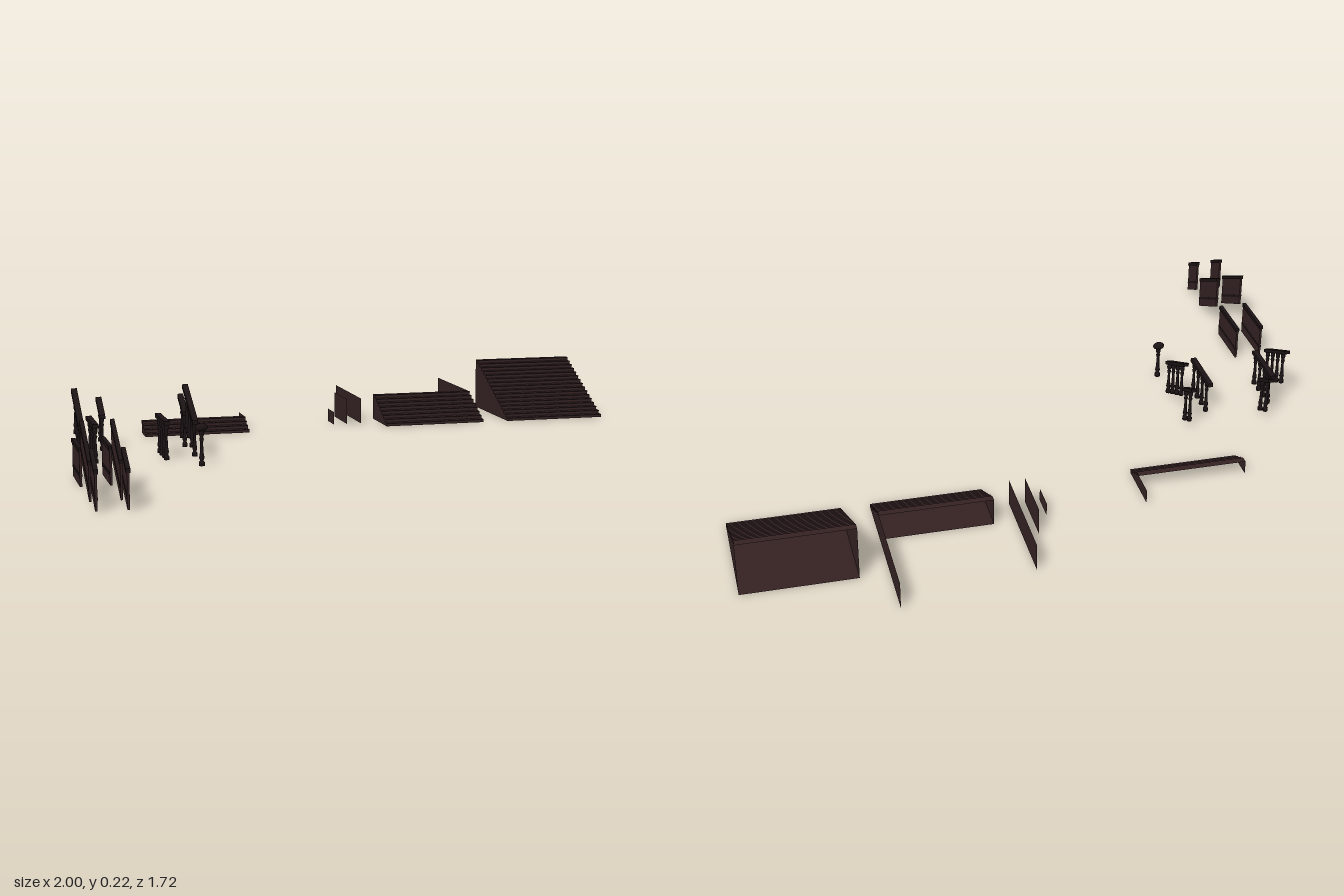
import * as THREE from 'three';

const wood = new THREE.MeshStandardMaterial({ color: 0x352223, side: THREE.DoubleSide });
wood.name = 'brown wood';
const darkWood = new THREE.MeshStandardMaterial({ color: 0x1c1315 });
darkWood.name = 'dark wood';

const STEP_RUN = 0.0226, STEP_RISE = 0.01125;

function add(parent, name, geometry, material) {
  const mesh = new THREE.Mesh(geometry, material);
  mesh.name = name;
  parent.add(mesh);
  return mesh;
}

function group(parent, name) {
  const g = new THREE.Group();
  g.name = name;
  parent.add(g);
  return g;
}

// Bar running towards -z from its front end, sheared upwards by rise along its length
function slantedBar(width, y0, y1, length, rise) {
  const geo = new THREE.BoxGeometry(width, y1 - y0, length);
  geo.translate(0, (y0 + y1) / 2, -length / 2);
  const p = geo.attributes.position;
  for (let i = 0; i < p.count; i++) p.setY(i, p.getY(i) - p.getZ(i) / length * rise);
  geo.computeVertexNormals();
  return geo;
}

// Hollow flight, open at the back
function stairs(parent, name, x0, x1, count, hasFloor) {
  const g = group(parent, name);
  const zFront = -0.325, width = x1 - x0, cx = (x0 + x1) / 2, run = count * STEP_RUN;
  const side = new THREE.Shape();
  side.moveTo(0, 0);
  for (let i = 0; i < count; i++) {
    side.lineTo(i * STEP_RUN, (i + 1) * STEP_RISE);
    side.lineTo((i + 1) * STEP_RUN, (i + 1) * STEP_RISE);
    const riser = add(g, 'riser', new THREE.PlaneGeometry(width, STEP_RISE), wood);
    riser.position.set(cx, (i + 0.5) * STEP_RISE, zFront - i * STEP_RUN);
    const tread = add(g, 'tread', new THREE.PlaneGeometry(width, STEP_RUN).rotateX(-Math.PI / 2), wood);
    tread.position.set(cx, (i + 1) * STEP_RISE, zFront - (i + 0.5) * STEP_RUN);
    // dark nosing under each tread edge
    const nosing = add(g, 'nosing', new THREE.BoxGeometry(width, 0.003, 0.003), darkWood);
    nosing.position.set(cx, (i + 1) * STEP_RISE - 0.0017, zFront - i * STEP_RUN + 0.0015);
  }
  side.lineTo(run, 0);
  for (const x of [x0, x1]) {
    const cheek = add(g, 'stairSide', new THREE.ShapeGeometry(side).rotateY(Math.PI / 2), wood);
    cheek.position.set(x, 0, zFront);
  }
  if (hasFloor) {
    const floor = add(g, 'stairFloor', new THREE.PlaneGeometry(width, run).rotateX(-Math.PI / 2), wood);
    floor.position.set(cx, 0, zFront - run / 2);
  }
}

// Thin upright plate lying in the y-z plane
function sidePlate(parent, x, zFront, length, height) {
  const plate = add(parent, 'sidePlate', new THREE.PlaneGeometry(length, height).rotateY(Math.PI / 2), wood);
  plate.position.set(x, height / 2, zFront - length / 2);
}

// Solid parapet with dark cap and lower moulding
function panel(parent, x, zFront, length, rise) {
  const g = group(parent, 'parapetPanel');
  g.position.set(x, 0, zFront);
  add(g, 'board', slantedBar(0.007, 0, 0.105, length, rise), wood);
  add(g, 'cap', slantedBar(0.013, 0.104, 0.117, length, rise), darkWood);
  add(g, 'moulding', slantedBar(0.009, 0.029, 0.038, length, rise), darkWood);
}

// Turned baluster
const balusterProfile = [
  [0, 0], [0.0085, 0], [0.0085, 0.012], [0.005, 0.016], [0.008, 0.026], [0.0055, 0.04],
  [0.004, 0.075], [0.007, 0.086], [0.0045, 0.091], [0.0075, 0.1], [0.0075, 0.115], [0, 0.115],
].map(([r, y]) => new THREE.Vector2(r, y));
const balusterGeo = new THREE.LatheGeometry(balusterProfile, 10);

function railing(parent, name, x, zFront, count, slope) {
  const g = group(parent, name);
  g.position.set(x, 0, zFront);
  const length = count * 0.045 + 0.004;
  add(g, 'handrail', slantedBar(0.019, 0.113, 0.126, length, slope * length), darkWood);
  for (let i = 0; i < count; i++) {
    const d = 0.015 + i * 0.045;
    add(g, 'baluster', balusterGeo, darkWood).position.set(0, slope * d, -d);
  }
}

export function createModel() {
  const model = new THREE.Group();
  model.name = 'stairKit';

  // Three flights
  stairs(model, 'smallStairs', -0.677, -0.315, 4, false);
  stairs(model, 'mediumStairs', 0.183, 0.545, 8, true);
  stairs(model, 'largeStairs', 0.638, 1.0, 16, true);

  // Landing sides and loose plates
  sidePlate(model, -0.315, -0.415, 0.09, 0.045);
  sidePlate(model, 0.545, -0.506, 0.356, 0.09);
  sidePlate(model, 0.012, -0.41, 0.09, 0.045);
  sidePlate(model, 0.06, -0.41, 0.18, 0.09);
  sidePlate(model, 0.112, -0.41, 0.36, 0.09);

  // Parapet panels in matching pairs
  for (const x of [-0.9935, -0.904]) {
    panel(model, x, 0.497, 0.182, 0);
    panel(model, x, 0.724, 0.182, 0.09);
    panel(model, x, 0.86, 0.091, 0.045);
  }

  // Baluster railings
  railing(model, 'longSlopedRailing', -0.949, 0.14, 4, 0.5);
  railing(model, 'flatRailing', -0.904, 0.138, 4, 0);
  railing(model, 'shortSlopedRailing', -0.859, -0.046, 2, 0.5);
  railing(model, 'flatRailing', -0.678, 0.138, 4, 0);
  railing(model, 'longSlopedRailing', -0.587, 0.14, 4, 0.5);
  railing(model, 'shortSlopedRailing', -0.587, -0.046, 2, 0.5);

  // Newel post with rounded head
  const newel = group(model, 'newelPost');
  newel.position.set(-0.588, 0, 0.255);
  add(newel, 'post', balusterGeo, darkWood).scale.set(1.1, 1, 1.1);
  const head = add(newel, 'head', new THREE.SphereGeometry(1, 16, 10), darkWood);
  head.scale.set(0.02, 0.0135, 0.0125);
  head.position.y = 0.122;

  return model;
}
